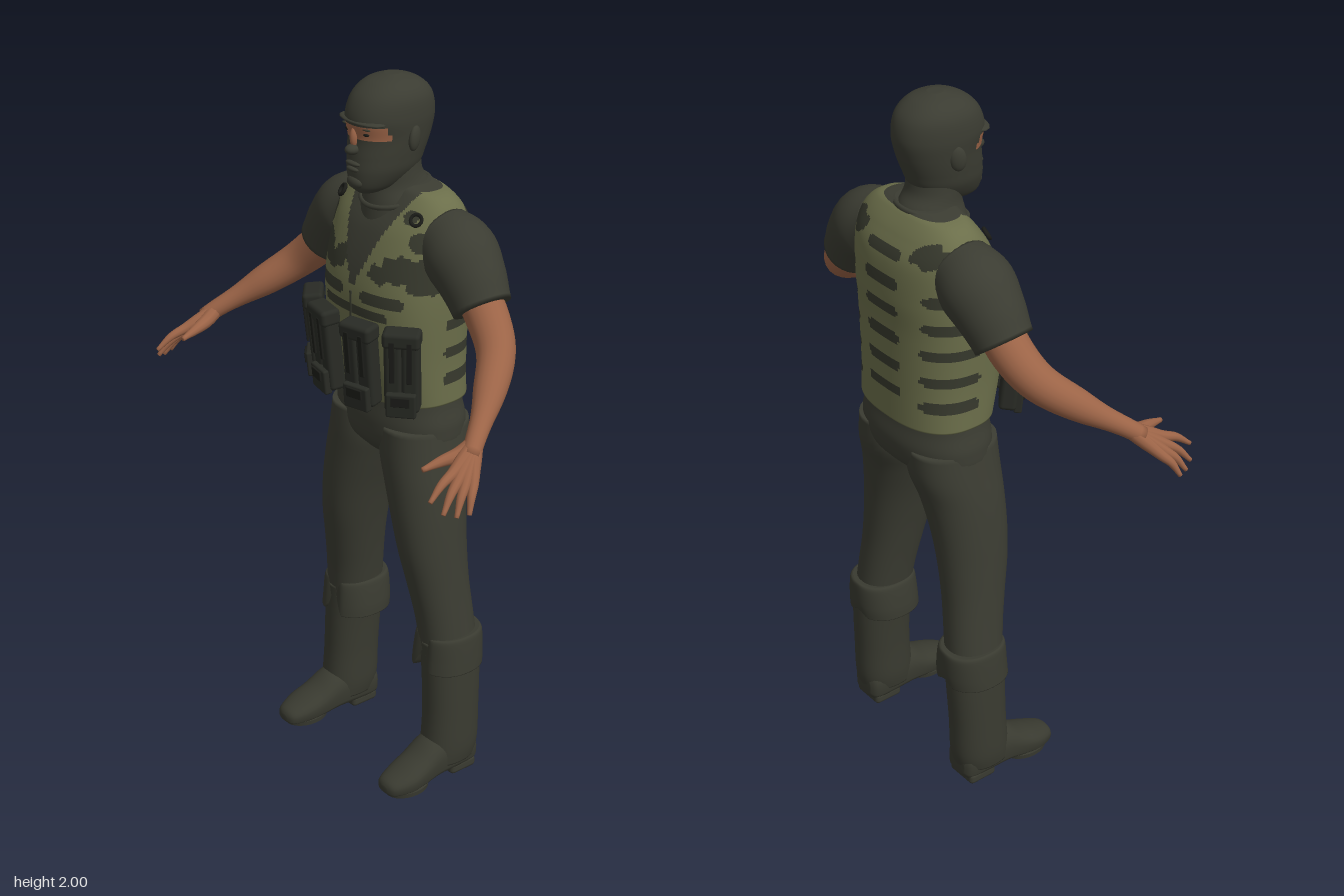
import * as THREE from 'three';
import { RoundedBoxGeometry } from 'three/addons/geometries/RoundedBoxGeometry.js';

const mat = (name, color) => Object.assign(new THREE.MeshStandardMaterial({ color }), { name });
const V = (a) => new THREE.Vector3(...a);

// Smooth interpolation through rows of numbers, t in 0..1
function sample(rows, t) {
  const f = t * (rows.length - 1), i = Math.min(Math.floor(f), rows.length - 2), u = f - i;
  const at = (k) => rows[Math.max(0, Math.min(rows.length - 1, k))];
  return rows[0].map((_, c) => {
    const [a, b, d, e] = [at(i - 1)[c], at(i)[c], at(i + 1)[c], at(i + 2)[c]];
    return b + 0.5 * u * (d - a + u * (2 * a - 5 * b + 4 * d - e + u * (3 * (b - d) + e - a)));
  });
}

// Skin over closed rings of points, with capped ends; pick() chooses a material per quad
function skin(rings, materials, pick = () => 0) {
  const n = rings[0].length, m = rings.length, pos = [], lists = materials.map(() => []);
  rings.forEach((r) => r.forEach((p) => pos.push(p.x, p.y, p.z)));
  for (let i = 0; i < m - 1; i++) for (let j = 0; j < n; j++) {
    const k = (j + 1) % n, a = i * n + j, b = i * n + k, c = a + n, d = b + n;
    const mid = rings[i][j].clone().add(rings[i + 1][k]).multiplyScalar(0.5);
    lists[pick(mid.x, mid.y, mid.z)].push(a, c, b, b, c, d);
  }
  [0, m - 1].forEach((i, e) => {
    const mid = rings[i].reduce((s, p) => s.add(p), new THREE.Vector3()).divideScalar(n);
    pos.push(mid.x, mid.y, mid.z);
    for (let j = 0; j < n; j++) {
      const a = i * n + j, b = i * n + (j + 1) % n;
      lists[pick(mid.x, mid.y, mid.z)].push(m * n + e, ...(e ? [b, a] : [a, b]));
    }
  });
  const g = new THREE.BufferGeometry();
  g.setAttribute('position', new THREE.Float32BufferAttribute(pos, 3));
  g.setIndex(lists.flat());
  let start = 0;
  lists.forEach((l, i) => { g.addGroup(start, l.length, i); start += l.length; });
  g.computeVertexNormals();
  return new THREE.Mesh(g, materials.length > 1 ? materials : materials[0]);
}

// Upright loft from rows of [y, x0, x1, zFront, zBack]
function loft(rows, materials, { n = 32, m = 30, power = 2, pick, bend } = {}) {
  const sp = (v) => Math.sign(v) * Math.abs(v) ** (2 / power);
  const rings = Array.from({ length: m + 1 }, (_, i) => {
    const [y, x0, x1, zf, zb] = sample(rows, i / m);
    return Array.from({ length: n }, (_, j) => {
      const a = j / n * Math.PI * 2;
      const p = new THREE.Vector3((x0 + x1) / 2 + (x1 - x0) / 2 * sp(Math.cos(a)), y, (zf + zb) / 2 + (zf - zb) / 2 * sp(Math.sin(a)));
      if (bend) bend(p, i / m);
      return p;
    });
  });
  return skin(rings, materials, pick);
}

// Round limb along points with changing radius
function limb(points, radii, material, n = 14, m = 20) {
  const curve = new THREE.CatmullRomCurve3(points.map(V)), fr = curve.computeFrenetFrames(m, false);
  const rings = Array.from({ length: m + 1 }, (_, i) => {
    const p = curve.getPointAt(i / m), r = sample(radii.map((v) => [v]), i / m)[0];
    return Array.from({ length: n }, (_, j) => {
      const a = j / n * Math.PI * 2;
      return p.clone().addScaledVector(fr.normals[i], r * Math.cos(a)).addScaledVector(fr.binormals[i], -r * Math.sin(a));
    });
  });
  return skin(rings, [material]);
}

function ball(p, s, material) {
  const g = new THREE.SphereGeometry(1, 16, 12).scale(...s);
  const mesh = new THREE.Mesh(g, material);
  mesh.position.set(...p);
  return mesh;
}

// Bakes placement and builds the mirrored copy
function pair(group, name, obj) {
  obj.updateMatrixWorld(true);
  const sides = ['left', 'right'].map((s) => Object.assign(new THREE.Group(), { name: s + name }));
  obj.traverse((o) => {
    if (!o.isMesh) return;
    const g = o.geometry.clone().applyMatrix4(o.matrixWorld);
    if (!g.index) g.setIndex(Array.from({ length: g.attributes.position.count }, (_, i) => i));
    const h = g.clone().scale(-1, 1, 1), ix = h.index.array;
    for (let i = 0; i < ix.length; i += 3) [ix[i], ix[i + 1]] = [ix[i + 1], ix[i]];
    [g, h].forEach((q, i) => sides[i].add(Object.assign(new THREE.Mesh(q, o.material), { name: o.name || name })));
  });
  group.add(...sides);
}

export function createModel() {
  const root = new THREE.Group();
  root.name = 'soldier';
  const cloth = mat('dark cloth', 0x3b3c32), olive = mat('olive vest', 0x6b6e4a), camo = mat('dark camouflage', 0x37392d);
  const flesh = mat('skin', 0x9c6447), boot = mat('boot', 0x393a30), pouchMat = mat('pouch', 0x292b25), black = mat('trim', 0x1c1d19);
  const add = (name, mesh) => { mesh.name = name; root.add(mesh); return mesh; };
  const group = (...parts) => new THREE.Group().add(...parts);

  // Vest and chest: shirt in the neck opening, patches in front, webbing strips behind
  const patches = [[0.15, 1.525, 0.065, 0.035], [0.09, 1.505, 0.04, 0.025], [0.19, 1.49, 0.03, 0.03], [0.17, 1.6, 0.022, 0.025],
    [-0.15, 1.53, 0.05, 0.035], [-0.1, 1.5, 0.05, 0.025], [-0.17, 1.6, 0.02, 0.03], [-0.06, 1.52, 0.025, 0.03], [0.13, 1.655, 0.022, 0.016]];
  const strip = (v, y, half, rowY) => Math.hypot(Math.max(Math.abs(v) - half, 0), y - rowY) < 0.015;
  const vestColour = (x, y, z) => {
    const ax = Math.abs(x);
    if (y > 1.708) return 2;
    if (z > -0.1) {
      if (y > 1.44 && ax < 0.1 * (y - 1.44) / 0.23) return 2;
      if (patches.some(([px, py, rx, ry]) => ((x - px) / rx) ** 2 + ((y - py) / ry) ** 2 < 1 + 0.25 * Math.sin(x * 130 + y * 90))) return 1;
      return strip(ax - 0.1, y, 0.05, 1.435) || strip(ax - 0.06, y, 0.05, 1.39) ? 1 : 0;
    }
    for (let k = 0; k < 6; k++) {
      const row = 1.21 + 0.078 * k;
      if (ax < 0.1 && strip(x, y, 0.05, row + 0.02)) return 1;
      if (k < 5 && ax > 0.1 && strip(z + 0.18, y, 0.055, row)) return 1;
    }
    return ((ax - 0.14) / 0.05) ** 2 + ((y - 1.64) / 0.03) ** 2 < 1 + 0.3 * Math.sin(x * 110 + y * 120) ? 1 : 0;
  };
  add('vest', loft([[1.135, -0.197, 0.197, 0.005, -0.268], [1.25, -0.198, 0.198, 0.03, -0.268], [1.4, -0.206, 0.206, 0.042, -0.27],
    [1.5, -0.207, 0.207, 0.03, -0.275], [1.6, -0.205, 0.205, -0.003, -0.267], [1.66, -0.192, 0.192, -0.04, -0.24],
    [1.7, -0.15, 0.15, -0.07, -0.21], [1.715, -0.08, 0.08, -0.08, -0.19]], [olive, camo, cloth], { n: 180, m: 110, power: 2.5, pick: vestColour }));

  // Neck with a bare nape, and the shirt collar
  add('neck', loft([[1.62, -0.1, 0.1, -0.015, -0.2], [1.67, -0.092, 0.092, -0.022, -0.207], [1.71, -0.076, 0.076, -0.03, -0.198],
    [1.75, -0.07, 0.07, -0.035, -0.175], [1.82, -0.068, 0.068, -0.04, -0.17]], [cloth, flesh],
  { n: 48, m: 40, pick: (x, y, z) => (z < -0.165 && y > 1.675 && y < 1.712 ? 1 : 0) }));
  const collar = add('collar', new THREE.Mesh(new THREE.TorusGeometry(0.093, 0.007, 8, 40), cloth));
  collar.position.set(0, 1.685, -0.11);
  collar.rotation.x = Math.PI / 2 + 0.28;

  // Head in a hood with an eye opening
  const eyeHole = (x, y, z) => (y > 1.848 && y < 1.885 && z > -0.032 && Math.abs(x) < 0.079 ? 1 : 0);
  add('head', loft([[1.702, -0.025, 0.025, 0.012, -0.06], [1.72, -0.05, 0.05, 0.03, -0.11], [1.76, -0.073, 0.073, 0.036, -0.165],
    [1.8, -0.082, 0.082, 0.033, -0.185], [1.85, -0.089, 0.089, 0.028, -0.203], [1.9, -0.094, 0.094, 0.036, -0.212],
    [1.95, -0.088, 0.088, 0.016, -0.2], [1.983, -0.063, 0.063, -0.024, -0.164], [1.999, -0.02, 0.02, -0.075, -0.115]],
  [cloth, flesh], { n: 64, m: 100, power: 2.15, pick: eyeHole }));
  add('nose', ball([0, 1.822, 0.034], [0.018, 0.014, 0.022], cloth));
  add('noseBridge', ball([0, 1.853, 0.027], [0.011, 0.028, 0.014], flesh));
  add('upperLip', ball([0, 1.785, 0.033], [0.027, 0.007, 0.01], cloth));
  add('lowerLip', ball([0, 1.77, 0.034], [0.023, 0.007, 0.009], cloth));
  add('chin', ball([0, 1.735, 0.026], [0.028, 0.018, 0.016], cloth));
  add('hoodBrow', ball([0, 1.894, 0.0], [0.082, 0.009, 0.041], cloth));
  const ear = ball([0.09, 1.848, -0.095], [0.012, 0.034, 0.022], cloth);
  ear.rotation.set(-0.15, 0.35, 0);
  pair(root, 'Ear', ear);
  pair(root, 'Eye', group(ball([0.034, 1.866, 0.019], [0.013, 0.005, 0.006], black), ball([0.036, 1.88, 0.022], [0.02, 0.003, 0.006], camo)));

  // Sleeves, arms and hands
  pair(root, 'Sleeve', limb([[0.15, 1.595, -0.14], [0.21, 1.57, -0.14], [0.268, 1.517, -0.137], [0.32, 1.448, -0.132]], [0.085, 0.1, 0.09, 0.078], cloth, 28));
  pair(root, 'Arm', limb([[0.28, 1.5, -0.133], [0.345, 1.43, -0.128], [0.41, 1.367, -0.1], [0.48, 1.295, -0.015], [0.548, 1.222, 0.09], [0.565, 1.2, 0.118]],
    [0.058, 0.056, 0.05, 0.043, 0.029, 0.024], flesh, 20, 30));
  const wrist = [0.548, 1.222, 0.088];
  const fingers = [[[0.573, 1.178, 0.18], [0.588, 1.13, 0.265]], [[0.588, 1.164, 0.175], [0.614, 1.1, 0.245]],
    [[0.602, 1.153, 0.165], [0.63, 1.09, 0.216]], [[0.612, 1.15, 0.148], [0.642, 1.092, 0.185]]];
  const mix = (a, b, t) => a.map((v, i) => v + (b[i] - v) * t);
  const hand = group(...fingers.map(([k, t]) => {
    const joint = mix(k, t, 0.5);
    joint[1] += 0.008;
    return limb([wrist, mix(wrist, k, 0.6), k, joint, t], [0.021, 0.019, 0.015, 0.011, 0.006], flesh, 10);
  }), limb([wrist, [0.538, 1.2, 0.13], [0.525, 1.19, 0.175], [0.514, 1.178, 0.228]], [0.022, 0.02, 0.014, 0.007], flesh, 10));
  pair(root, 'Hand', hand);

  // Trousers
  add('hips', loft([[0.955, -0.1, 0.1, -0.045, -0.2], [1.0, -0.195, 0.195, -0.008, -0.25], [1.06, -0.208, 0.208, 0, -0.264],
    [1.12, -0.197, 0.197, -0.005, -0.255], [1.18, -0.19, 0.19, -0.01, -0.25]], [cloth], { n: 48, power: 2.3 }));
  pair(root, 'TrouserLeg', loft([[0.4, 0.14, 0.28, -0.055, -0.22], [0.5, 0.125, 0.268, -0.045, -0.213], [0.6, 0.106, 0.257, -0.028, -0.207],
    [0.7, 0.084, 0.249, -0.01, -0.208], [0.8, 0.058, 0.241, -0.002, -0.215], [0.9, 0.025, 0.23, 0, -0.23],
    [0.98, 0.0, 0.217, 0, -0.252], [1.06, 0.005, 0.203, -0.004, -0.255]], [cloth], { power: 2.2 }));

  // Boots: shaft, split cuff, foot and heel
  const shaft = loft([[0.05, 0.165, 0.288, -0.04, -0.205], [0.1, 0.158, 0.294, -0.045, -0.216], [0.2, 0.157, 0.292, -0.052, -0.219],
    [0.32, 0.15, 0.288, -0.053, -0.224], [0.43, 0.138, 0.283, -0.052, -0.224]], [boot], { power: 2.2 });
  const cuff = loft([[0.345, 0.112, 0.297, -0.042, -0.233], [0.38, 0.114, 0.294, -0.044, -0.236], [0.44, 0.124, 0.287, -0.048, -0.235],
    [0.452, 0.132, 0.28, -0.055, -0.226]], [boot], { n: 64, power: 2.3, bend: (p, t) => {
    const d = Math.max(0, 1 - Math.abs(p.x - 0.2) / 0.035);
    if (p.z > -0.1) { p.y += 0.07 * d * (1 - t); p.z -= 0.015 * d; } else p.y += 0.02 * d * (1 - t);
  } });
  const footRows = [[0.113, 0.232, 0.012, 0.02, 0.038], [0.1, 0.232, 0.038, 0.01, 0.055], [0.05, 0.233, 0.056, 0.008, 0.076],
    [0.0, 0.23, 0.058, 0.01, 0.098], [-0.06, 0.226, 0.057, 0.012, 0.135], [-0.13, 0.224, 0.057, 0.01, 0.14], [-0.19, 0.223, 0.052, 0.012, 0.12], [-0.207, 0.223, 0.03, 0.03, 0.09]];
  const foot = skin(Array.from({ length: 31 }, (_, i) => {
    const [z, cx, w, y0, y1] = sample(footRows, i / 30);
    return Array.from({ length: 24 }, (_, j) => {
      const a = j / 12 * Math.PI, s = Math.sin(a);
      return new THREE.Vector3(cx + w * Math.cos(a), (y0 + y1) / 2 + (y1 - y0) / 2 * Math.sign(s) * Math.abs(s) ** (s < 0 ? 0.45 : 0.9), z);
    });
  }), [boot]);
  const heel = new THREE.Mesh(new RoundedBoxGeometry(0.1, 0.035, 0.09, 2, 0.012), boot);
  heel.position.set(0.224, 0.0175, -0.15);
  const sole = new THREE.Mesh(new THREE.CylinderGeometry(0.052, 0.05, 0.014, 24).scale(1, 1, 1.35), boot);
  sole.position.set(0.233, 0.008, 0.03);
  pair(root, 'Boot', group(shaft, cuff, foot, heel, sole));

  // Magazine pouches: twin tall cells, lid, strap and small lower pocket
  const box = (w, h, d, x, y, z, m) => {
    const b = new THREE.Mesh(new RoundedBoxGeometry(w, h, d, 2, Math.min(w, h, d) * 0.25), m);
    b.position.set(x, y, z);
    return b;
  };
  const pouch = (x, z, turn) => {
    const p = group(box(0.048, 0.225, 0.048, -0.023, 0, 0, pouchMat), box(0.048, 0.225, 0.048, 0.023, 0, 0, pouchMat),
      box(0.1, 0.045, 0.056, 0, 0.1, 0.002, pouchMat), box(0.014, 0.12, 0.006, -0.023, 0.04, 0.029, black), box(0.014, 0.12, 0.006, 0.023, 0.04, 0.029, black),
      box(0.08, 0.07, 0.022, 0, -0.085, 0.028, pouchMat), box(0.05, 0.028, 0.008, 0, -0.07, 0.04, black));
    p.position.set(x, 1.262, z);
    p.rotation.set(0.1, turn, 0, 'YXZ');
    return p;
  };
  pair(root, 'FrontPouch', pouch(0.072, 0.062, 0.22));
  pair(root, 'SidePouch', pouch(0.178, 0.012, 0.7));

  // Shoulder strap buckles and zip
  const buckle = new THREE.Mesh(new THREE.TorusGeometry(0.015, 0.005, 6, 14), black);
  buckle.position.set(0.15, 1.655, -0.052);
  buckle.rotation.set(-0.6, 0.4, 0);
  pair(root, 'Buckle', buckle);
  add('zip', box(0.008, 0.2, 0.008, 0, 1.34, 0.04, camo));
  return root;
}
